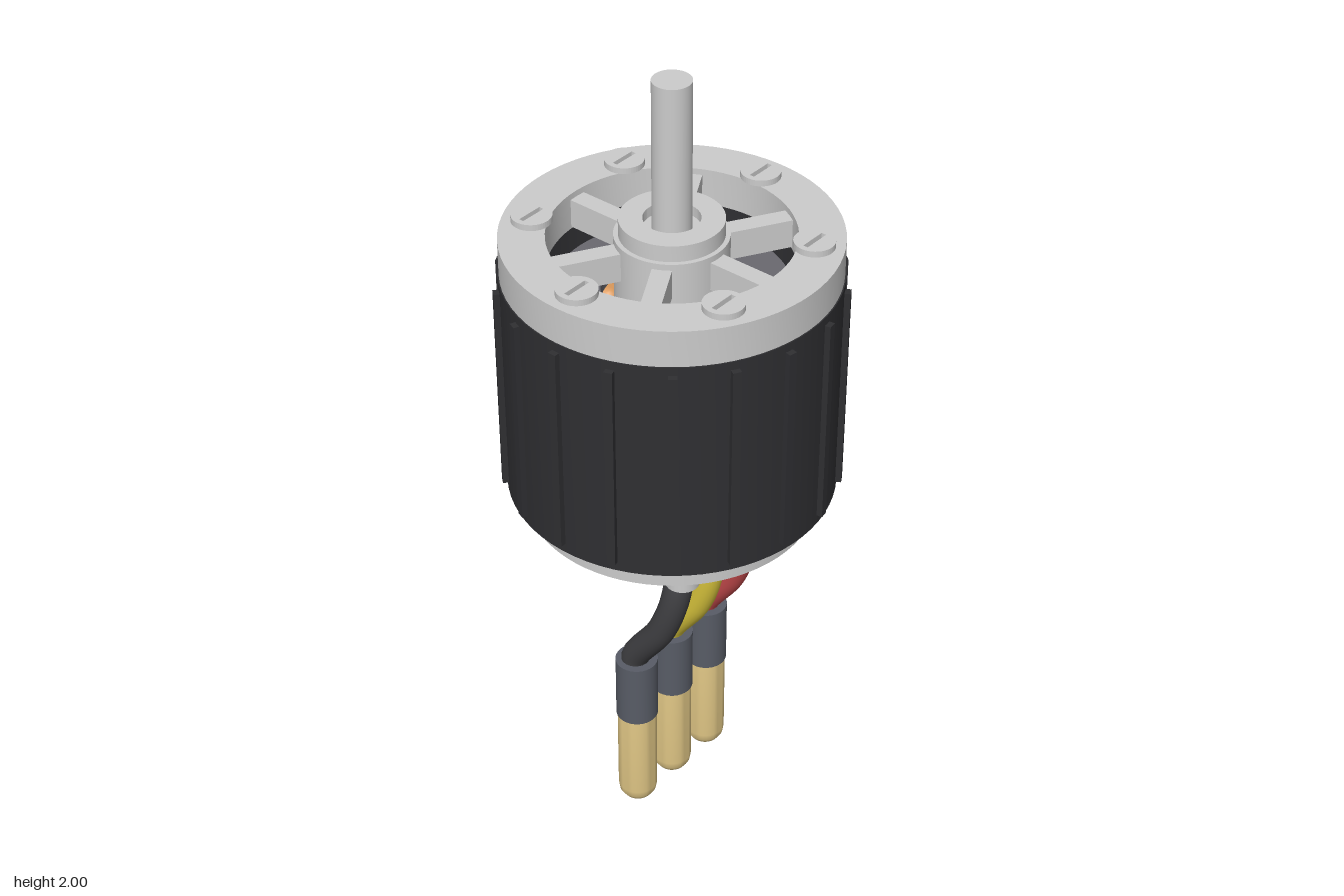
import * as THREE from 'three';
import { toCreasedNormals } from 'three/addons/utils/BufferGeometryUtils.js';
import { RoundedBoxGeometry } from 'three/addons/geometries/RoundedBoxGeometry.js';

const mat = (color) => new THREE.MeshStandardMaterial({ color });
const GREY = mat(0xcccccc), BLACK = mat(0x2f2f32), STATOR = mat(0x6a696f), COPPER = mat(0xd9985a);
const GOLD = mat(0xe3c987), SLEEVE = mat(0x585c66);

export function createModel() {
  const model = new THREE.Group();

  const add = (name, geometry, material, x = 0, y = 0, z = 0, parent = model) => {
    const mesh = new THREE.Mesh(geometry, material);
    mesh.name = name;
    mesh.position.set(x, y, z);
    parent.add(mesh);
    return mesh;
  };
  // Profile of [radius, y], up the outside and down the inside
  const turned = (profile, segments = 64) => toCreasedNormals(
    new THREE.LatheGeometry(profile.map(([r, y]) => new THREE.Vector2(r, y)), segments), 0.6);
  const ring = (inner, outer, y0, y1) => turned(
    [[inner, y0], [outer, y0], [outer, y1], [inner, y1], [inner, y0]], 72);
  const cylinder = (r, h, segments = 32) => new THREE.CylinderGeometry(r, r, h, segments);
  // Repeats a builder around the vertical axis; +x points outwards
  const around = (name, count, offset, build) => {
    for (let i = 0; i < count; i++) {
      const arm = new THREE.Group();
      arm.name = name;
      arm.rotation.y = offset + (i / count) * Math.PI * 2;
      model.add(arm);
      build(arm);
    }
  };

  // Rotating can with cooling ribs
  add('bell', ring(0.345, 0.388, 0.96, 1.53), BLACK);
  const rib = new THREE.BoxGeometry(0.025, 0.525, 0.02);
  around('bellRib', 18, 0, (g) => add('rib', rib, BLACK, 0.389, 1.247, 0, g));

  // Top cap: rim, spokes, hub and shaft
  add('topRim', ring(0.28, 0.385, 1.53, 1.62), GREY);
  const spoke = new THREE.BoxGeometry(0.18, 0.07, 0.045);
  around('topSpoke', 6, Math.PI / 6, (g) => add('spoke', spoke, GREY, 0.2, 1.57, 0, g));
  add('hub', turned([[0, 1.0], [0.13, 1.0], [0.13, 1.62], [0.119, 1.62], [0.119, 1.66],
    [0.065, 1.66], [0.065, 1.635], [0, 1.635]]), GREY);
  add('shaft', cylinder(0.045, 0.5), GREY, 0, 1.75, 0);

  // Slotted screws on the rim
  const head = new THREE.Shape().absarc(0, 0, 0.047, 0, Math.PI * 2);
  const slot = new THREE.Path();
  slot.moveTo(-0.033, -0.006).lineTo(-0.033, 0.006).lineTo(0.033, 0.006).lineTo(0.033, -0.006).closePath();
  head.holes.push(slot);
  const screw = new THREE.ExtrudeGeometry(head, { depth: 0.015, bevelEnabled: false, curveSegments: 24 });
  screw.rotateX(-Math.PI / 2);
  for (let i = 0; i < 6; i++) {
    const a = (i * Math.PI) / 3;
    add('screw', screw, GREY, 0.316 * Math.cos(a), 1.62, 0.316 * Math.sin(a));
  }

  // Stator plate over copper windings
  add('statorPlate', ring(0.16, 0.27, 1.44, 1.48), STATOR);
  const coil = new RoundedBoxGeometry(0.165, 0.44, 0.072, 3, 0.03);
  around('winding', 12, Math.PI / 12, (g) => add('coil', coil, COPPER, 0.208, 1.22, 0, g));

  // Fixed base with a four-armed mount
  add('base', cylinder(0.345, 0.07, 72), GREY, 0, 0.93, 0);
  const mountArm = new THREE.BoxGeometry(0.24, 0.05, 0.07);
  const boss = cylinder(0.04, 0.06, 24);
  around('mount', 4, Math.PI / 4, (g) => {
    add('mountArm', mountArm, GREY, 0.11, 0.875, 0, g);
    add('innerBoss', boss, GREY, 0.22, 0.875, 0, g);
    add('outerBoss', boss, GREY, 0.267, 0.87, 0, g);
  });

  // Three curved wires, each with a sleeve and a round-nosed plug
  const plug = turned([[0, 0], [0.02, 0.002], [0.036, 0.011], [0.046, 0.026], [0.049, 0.045],
    [0.049, 0.285], [0, 0.285]], 32);
  const sleeve = cylinder(0.052, 0.175);
  for (const [name, side, color] of [['black', -1, 0x3f3f42], ['yellow', 0, 0xd8c43c], ['red', 1, 0xc44a4c]]) {
    const x = 0.135 * side;
    const path = new THREE.CatmullRomCurve3([[0.07, 0.9, 0.085], [0.09, 0.84, 0.1], [0.122, 0.73, 0.118],
      [0.135, 0.6, 0.082], [0.135, 0.47, -0.002], [0.135, 0.44, -0.005]]
      .map(([px, py, pz]) => new THREE.Vector3(px * side, py, pz)));
    add(name + 'Wire', new THREE.TubeGeometry(path, 40, 0.035, 20), mat(color));
    add(name + 'Sleeve', sleeve, SLEEVE, x, 0.3725, 0);
    add(name + 'Plug', plug, GOLD, x, 0, 0);
  }

  return model;
}
